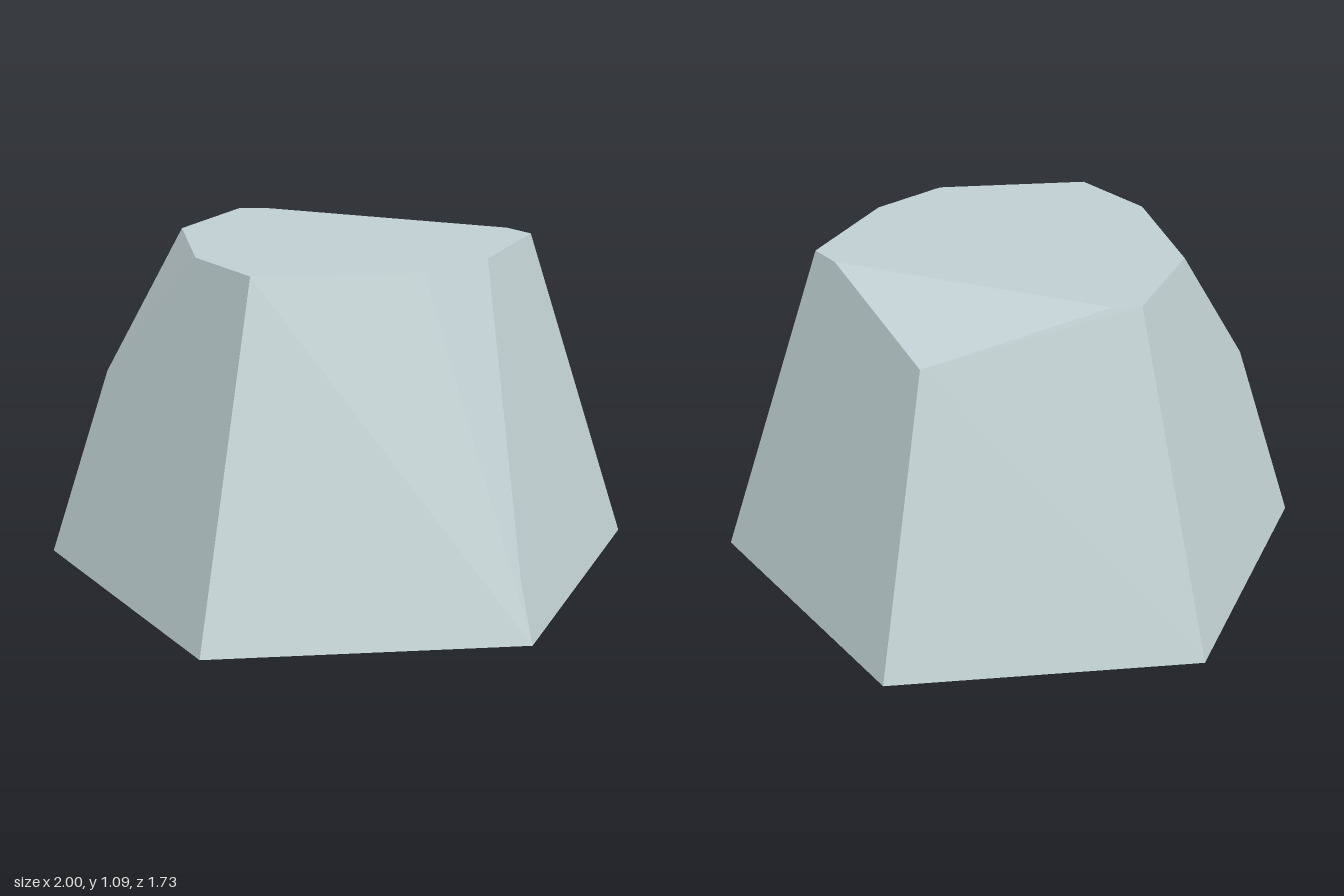
import * as THREE from 'three';
import { ConvexGeometry } from 'three/addons/geometries/ConvexGeometry.js';

const HEIGHT = 1.085;
const BASE_RADIUS = 1;
const TOP_RADIUS = 0.64;

// Chipped corners: height left on the slanted edge, and how far the chip
// runs along the rim towards the next and previous corner (all 0..1)
const CHIPS = {
  0: { edge: 0.17, next: 0.19, prev: 0.325 },
  2: { edge: 0.594, next: 0.36, prev: 0.5 },
  4: { edge: 0.861, next: 0.81, prev: 0.86 },
};

function corner(k, radius, y) {
  const a = (k * Math.PI) / 3;
  return new THREE.Vector3(radius * Math.cos(a), y, radius * Math.sin(a));
}

export function createModel() {
  const points = [];
  for (let k = 0; k < 6; k++) {
    const base = corner(k, BASE_RADIUS, 0);
    const top = corner(k, TOP_RADIUS, HEIGHT);
    points.push(base);
    const chip = CHIPS[k];
    if (!chip) {
      points.push(top);
      continue;
    }
    // A chip replaces the top corner with three points
    points.push(
      base.clone().lerp(top, chip.edge),
      top.clone().lerp(corner(k + 1, TOP_RADIUS, HEIGHT), chip.next),
      top.clone().lerp(corner(k - 1, TOP_RADIUS, HEIGHT), chip.prev)
    );
  }

  // Tapered six-sided stone with three chipped corners
  const stone = new THREE.Mesh(
    new ConvexGeometry(points),
    new THREE.MeshStandardMaterial({ color: 0xc0d0d2, flatShading: true })
  );
  stone.name = 'chippedStone';

  const group = new THREE.Group();
  group.name = 'stoneBlock';
  group.add(stone);
  return group;
}
